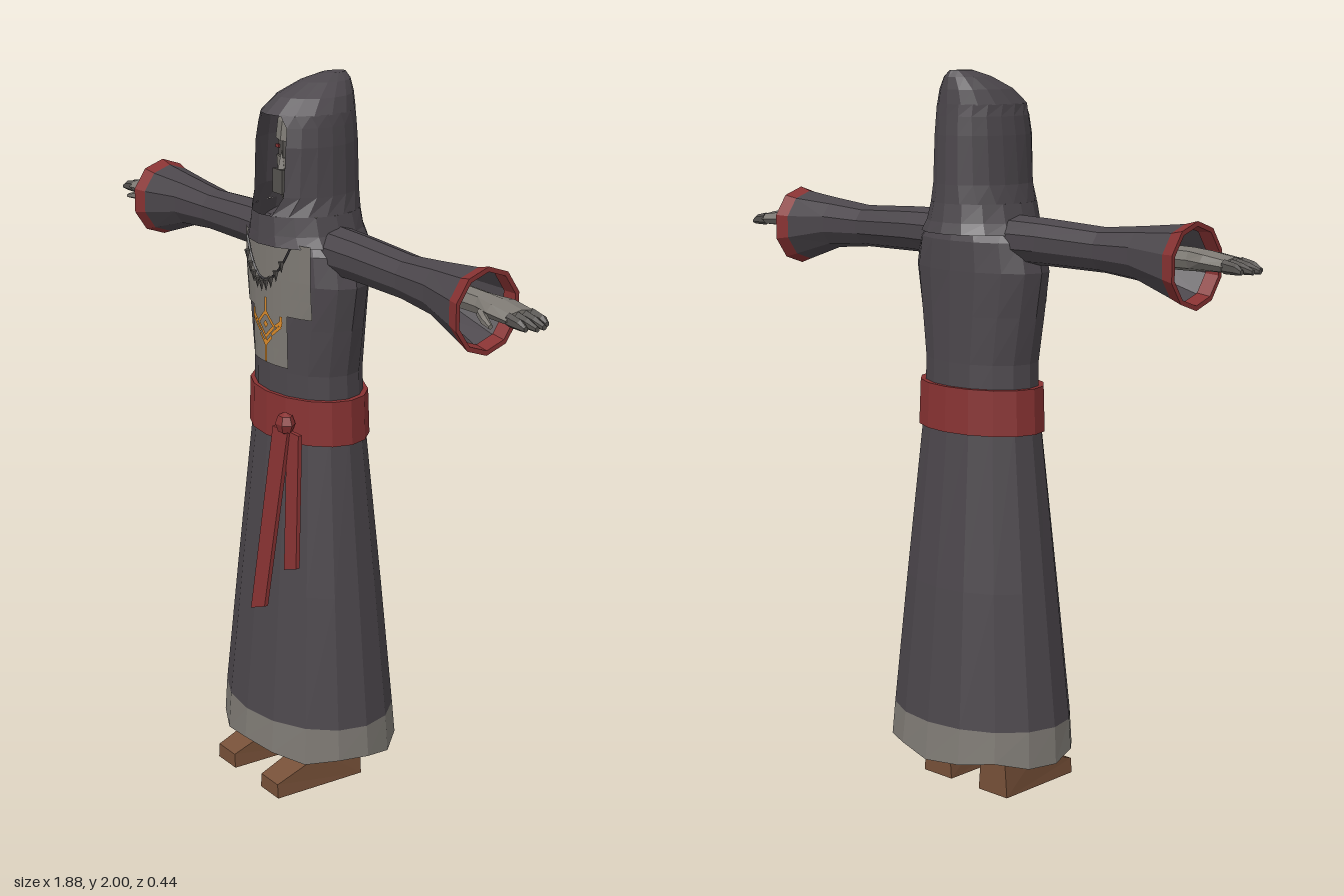
import * as THREE from 'three';
import { mergeGeometries } from 'three/addons/utils/BufferGeometryUtils.js';

const mat = (name, color, side = THREE.DoubleSide) =>
  Object.assign(new THREE.MeshStandardMaterial({ color, side, flatShading: true }), { name });

// Skin a list of cross-sections (arrays of [x, y, z]); optionally close the ends.
function loft(rings, capStart = false, capEnd = false) {
  const n = rings[0].length, pos = [], idx = [];
  rings.forEach(r => r.forEach(p => pos.push(...p)));
  for (let i = 0; i < rings.length - 1; i++) {
    for (let j = 0; j < n - 1; j++) {
      const a = i * n + j, b = a + n;
      idx.push(a, a + 1, b + 1, a, b + 1, b);
    }
  }
  const cap = (ring, start, flip) => {
    const c = [0, 1, 2].map(k => ring.slice(0, -1).reduce((s, p) => s + p[k], 0) / (n - 1));
    const m = pos.length / 3;
    pos.push(...c);
    for (let j = 0; j < n - 1; j++) {
      if (flip) idx.push(m, start + j + 1, start + j);
      else idx.push(m, start + j, start + j + 1);
    }
  };
  if (capStart) cap(rings[0], 0, true);
  if (capEnd) cap(rings[rings.length - 1], (rings.length - 1) * n, false);
  const g = new THREE.BufferGeometry();
  g.setAttribute('position', new THREE.Float32BufferAttribute(pos, 3));
  g.setIndex(idx);
  const flat = g.toNonIndexed();
  flat.computeVertexNormals();
  return flat;
}

// Horizontal oval at height y; gap leaves an opening of that half-width at the front.
function oval(y, rx, zf, zb, gap = 0, n = 16, wave = 0) {
  const a0 = Math.asin(gap / rx), cz = (zf + zb) / 2, rz = (zf - zb) / 2;
  return Array.from({ length: n + 1 }, (_, i) => {
    const a = a0 + (2 * Math.PI - 2 * a0) * i / n;
    return [rx * Math.sin(a), y + wave * Math.sin(a * 5 + 1), cz + rz * Math.cos(a)];
  });
}

// Upright oval across the arm at position x.
function armRing(x, cy, ry, rz, cz = 0, n = 10) {
  return Array.from({ length: n + 1 }, (_, i) => {
    const a = 2 * Math.PI * i / n;
    return [x, cy + ry * Math.cos(a), cz + rz * Math.sin(a)];
  });
}

// Height of the chest surface, used to lay flat pieces on it.
function chestZ(x, y) {
  const t = (y - 1.2) / 0.27;
  const rx = 0.18 + 0.04 * Math.min(1, Math.max(0, t));
  return 0.13 * Math.sqrt(Math.max(0, 1 - (x / rx) ** 2));
}
function drape(g, offset) {
  const p = g.attributes.position;
  for (let i = 0; i < p.count; i++) p.setZ(i, chestZ(p.getX(i), p.getY(i)) + offset);
  g.computeVertexNormals();
  return g;
}

export function createModel() {
  const model = new THREE.Group();
  const robe = mat('charcoal cloth', 0x4b464b);
  const red = mat('red cloth', 0x873232);
  const grey = mat('grey cloth', 0x7d7973);
  const darkGrey = mat('dark grey', 0x55524f);
  const dark = mat('near black', 0x343236);
  const brown = mat('brown leather', 0x765038);
  const gold = mat('gold', 0xd98a2b);

  const add = (name, geometry, material, parent = model) => {
    const m = new THREE.Mesh(geometry, material);
    m.name = name;
    parent.add(m);
    return m;
  };

  // Skirt, hem and torso
  add('skirt', loft([
    oval(0.22, 0.282, 0.215, -0.212), oval(0.6, 0.24, 0.18, -0.178), oval(1.06, 0.188, 0.135, -0.133)]), robe);
  add('hem', loft([oval(0.122, 0.288, 0.222, -0.222, 0, 16, 0.011), oval(0.22, 0.282, 0.215, -0.212)]), grey);
  add('skirtUnderside', loft([oval(0.15, 0.284, 0.217, -0.217), oval(0.155, 0.283, 0.216, -0.216)], true), darkGrey);
  add('torso', loft([
    oval(1.1, 0.183, 0.13, -0.128), oval(1.22, 0.18, 0.13, -0.125), oval(1.35, 0.202, 0.13, -0.123),
    oval(1.47, 0.222, 0.128, -0.122), oval(1.55, 0.205, 0.125, -0.12), oval(1.61, 0.14, 0.09, -0.1)], false, true), robe);

  // Belt with knot and two hanging ends
  add('belt', loft([
    oval(1.03, 0.192, 0.13, -0.13), oval(1.03, 0.203, 0.143, -0.143),
    oval(1.155, 0.198, 0.141, -0.139), oval(1.155, 0.183, 0.128, -0.126)]), red);
  const knot = add('beltKnot', new THREE.SphereGeometry(0.032, 6, 4), red);
  knot.scale.z = 0.8;
  knot.position.set(0.095, 1.09, 0.145);
  const sash = (name, corners, z, slope) => {
    const g = new THREE.ExtrudeGeometry(new THREE.Shape(corners.map(c => new THREE.Vector2(...c))),
      { depth: 0.012, bevelEnabled: false });
    const p = g.attributes.position;
    for (let i = 0; i < p.count; i++) p.setZ(i, p.getZ(i) + z + (1.07 - p.getY(i)) * slope);
    g.computeVertexNormals();
    add(name, g, red);
  };
  sash('longSashEnd', [[0.045, 1.07], [0.022, 0.54], [0.085, 0.565], [0.115, 1.07]], 0.14, 0.115);
  sash('shortSashEnd', [[0.1, 1.07], [0.135, 0.685], [0.19, 0.705], [0.155, 1.07]], 0.132, 0.09);

  // Chest panel
  add('chestPanelUpper', drape(new THREE.PlaneGeometry(0.31, 0.2, 10, 4).translate(-0.005, 1.48, 0), 0.006), grey);
  add('chestPanelLower', drape(new THREE.PlaneGeometry(0.16, 0.15, 6, 3).translate(-0.002, 1.31, 0), 0.006), grey);

  // Necklace with pointed beads
  const cordPoint = t => {
    const x = 0.1 * t, y = 1.47 + 0.1 * t * t;
    return new THREE.Vector3(x, y, chestZ(x, y) + 0.016);
  };
  const steps = Array.from({ length: 11 }, (_, i) => (i - 5) / 5);
  add('necklaceCord', new THREE.TubeGeometry(new THREE.CatmullRomCurve3(steps.map(cordPoint)), 20, 0.004, 4), dark);
  const beads = steps.slice(1, -1).map(t => {
    const p = cordPoint(t);
    return new THREE.ConeGeometry(0.009, 0.032, 5).rotateX(Math.PI).translate(p.x, p.y - 0.016, p.z + 0.008);
  });
  add('necklaceBeads', mergeGeometries(beads), darkGrey);

  // Ornament on the chest: open diamond, stem and side hooks
  const bar = (x1, y1, x2, y2, w = 0.009) => new THREE.PlaneGeometry(Math.hypot(x2 - x1, y2 - y1), w, 4, 1)
    .rotateZ(Math.atan2(y2 - y1, x2 - x1)).translate((x1 + x2) / 2, (y1 + y2) / 2, 0);
  const bars = [bar(0, 1.24, 0, 1.31), bar(0, 1.37, 0, 1.42)];
  for (const s of [-1, 1]) {
    bars.push(bar(s * 0.036, 1.345, 0, 1.38), bar(s * 0.036, 1.345, 0, 1.31),
      bar(s * 0.025, 1.32, s * 0.062, 1.35), bar(s * 0.062, 1.35, s * 0.062, 1.378),
      bar(s * 0.04, 1.345, s * 0.066, 1.365), bar(0, 1.288, s * 0.026, 1.315));
  }
  bars.push(new THREE.CircleGeometry(0.011, 4).translate(0, 1.345, 0));
  add('chestOrnament', drape(mergeGeometries(bars), 0.012), gold);

  // Head: neck, mask, eye band and brow
  const head = new THREE.Group();
  head.name = 'head';
  model.add(head);
  const h = (y, r, zf) => oval(y, r, zf, -0.09, 0, 10);
  add('neck', loft([h(1.58, 0.07, 0.07), h(1.67, 0.06, 0.06)]), grey, head);
  add('mask', loft([h(1.655, 0.045, 0.075), h(1.7, 0.065, 0.088), h(1.79, 0.078, 0.09)], true), grey, head);
  add('eyeBand', loft([h(1.79, 0.077, 0.084), h(1.835, 0.079, 0.084)]), darkGrey, head);
  add('brow', loft([h(1.835, 0.08, 0.092), h(1.885, 0.076, 0.086), h(1.915, 0.05, 0.06)], false, true), grey, head);
  add('mouthPatch', new THREE.BoxGeometry(0.045, 0.065, 0.008).translate(-0.012, 1.725, 0.09), darkGrey, head);
  add('nose', new THREE.ConeGeometry(0.012, 0.05, 4).translate(0, 1.785, 0.088), grey, head);
  for (const s of [-1, 1]) {
    add('eye', new THREE.BoxGeometry(0.012, 0.009, 0.006).translate(s * 0.033, 1.815, 0.077), red, head);
  }

  // Hood: closed collar, open front, peak leaning back
  add('hoodCollar', loft([
    oval(1.57, 0.172, 0.165, -0.157), oval(1.6, 0.152, 0.163, -0.148), oval(1.65, 0.137, 0.16, -0.141)]), robe);
  add('hoodSides', loft([
    oval(1.65, 0.137, 0.16, -0.141, 0.045), oval(1.7, 0.126, 0.152, -0.138, 0.068),
    oval(1.83, 0.12, 0.15, -0.135, 0.07), oval(1.88, 0.114, 0.142, -0.132, 0.066),
    oval(1.912, 0.108, 0.135, -0.131, 0.045)]), robe);
  add('hoodTop', loft([
    oval(1.91, 0.109, 0.137, -0.131), oval(1.95, 0.088, 0.09, -0.129),
    oval(1.983, 0.054, 0.02, -0.125), oval(2, 0.022, -0.04, -0.115)], false, true), robe);

  // Arms: sleeve, cuff, hand; the right one is mirrored
  for (const [side, s] of [['left', 1], ['right', -1]]) {
    const arm = new THREE.Group();
    arm.name = side + 'Arm';
    arm.scale.x = s;
    model.add(arm);
    add('sleeve', loft([
      armRing(0.12, 1.555, 0.066, 0.07), armRing(0.25, 1.555, 0.063, 0.064), armRing(0.45, 1.55, 0.059, 0.058),
      armRing(0.58, 1.55, 0.071, 0.07), armRing(0.71, 1.535, 0.1, 0.092)], true), robe, arm);
    add('cuff', loft([
      armRing(0.71, 1.535, 0.1, 0.092), armRing(0.75, 1.533, 0.112, 0.103),
      armRing(0.75, 1.533, 0.099, 0.091), armRing(0.71, 1.535, 0.095, 0.087)]), red, arm);
    const r = (x, y, ry, rz, cz) => armRing(x, y, ry, rz, cz, 8);
    add('forearmAndPalm', loft([
      r(0.5, 1.55, 0.034, 0.036, 0), r(0.74, 1.55, 0.03, 0.034, 0),
      r(0.8, 1.55, 0.026, 0.052, -0.004), r(0.87, 1.545, 0.02, 0.05, -0.004)], false, true), grey, arm);
    [0.03, 0.007, -0.017, -0.04].forEach((z, i) => {
      const tip = [0.925, 0.94, 0.937, 0.92][i];
      add('finger', loft([
        armRing(0.865, 1.545, 0.018, 0.0135, z, 6), armRing(0.905, 1.541, 0.014, 0.012, z, 6),
        armRing(tip, 1.535, 0.007, 0.007, z, 6)], false, true), darkGrey, arm);
    });
    add('thumb', loft([
      armRing(0.765, 1.54, 0.013, 0.014, 0.035, 6), armRing(0.805, 1.533, 0.013, 0.012, 0.055, 6),
      armRing(0.84, 1.527, 0.006, 0.007, 0.066, 6)], false, true), grey, arm);
  }

  // Feet: wedge shoes with ankles
  const profile = new THREE.Shape([[-0.067, 0], [0.214, 0], [0.214, 0.042], [0.065, 0.098], [-0.067, 0.095]]
    .map(p => new THREE.Vector2(...p)));
  for (const [side, s] of [['left', 1], ['right', -1]]) {
    const shoe = new THREE.ExtrudeGeometry(profile, { depth: 0.11, bevelEnabled: false })
      .translate(0, 0, -0.055).rotateY(-Math.PI / 2);
    const p = shoe.attributes.position;
    for (let i = 0; i < p.count; i++) {
      const k = 1 - 0.2 * Math.max(0, p.getZ(i) - 0.06) / 0.15 - 0.15 * p.getY(i) / 0.1;
      p.setX(i, p.getX(i) * k + s * 0.11);
    }
    shoe.computeVertexNormals();
    add(side + 'Shoe', shoe, brown);
    add(side + 'Ankle', new THREE.CylinderGeometry(0.048, 0.046, 0.1, 8).translate(s * 0.11, 0.125, -0.008), brown);
  }
  return model;
}
